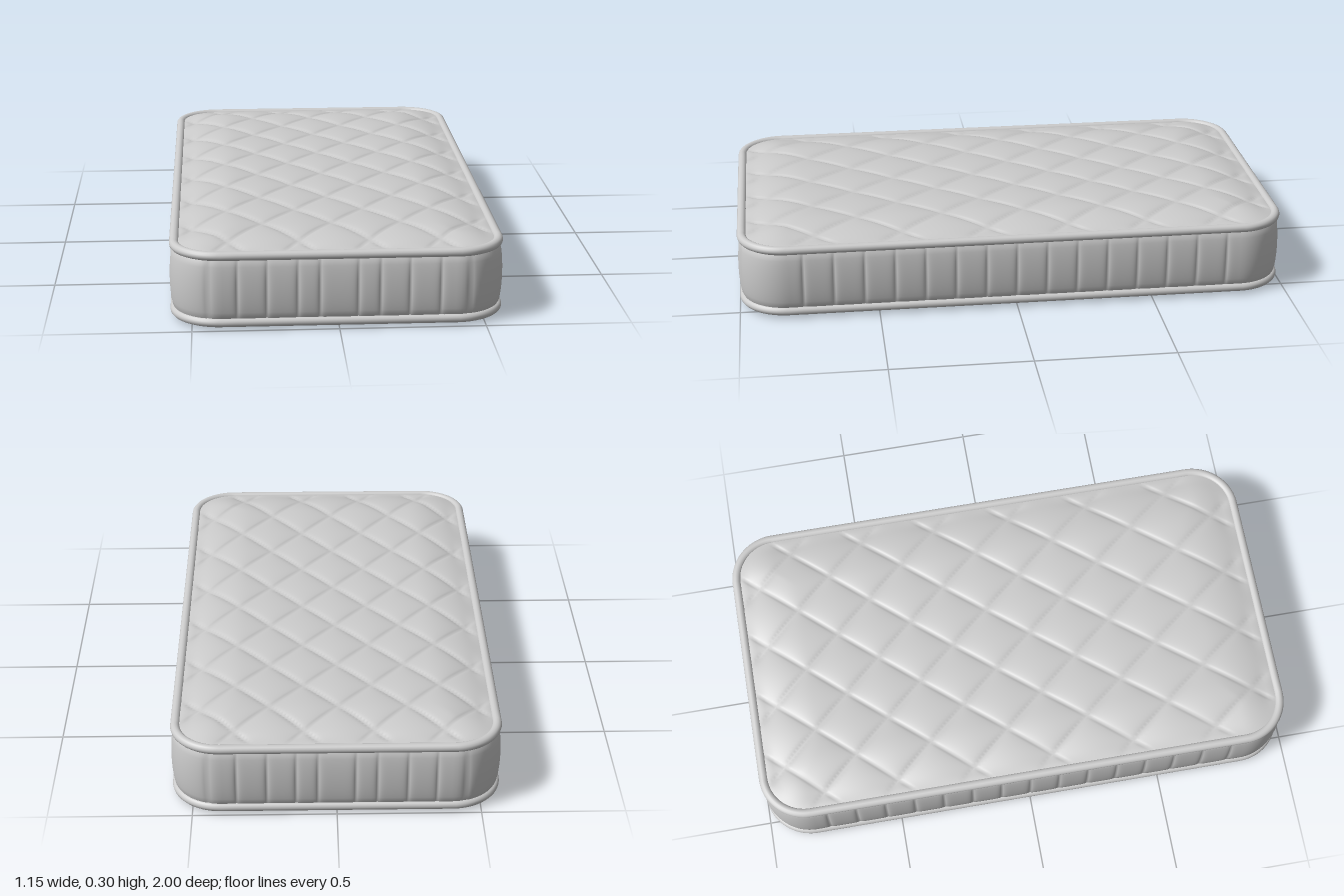
import * as THREE from 'three';

const CORE_X = 0.4, CORE_Z = 0.825;   // straight half lengths between the rounded corners
const RADIUS = 0.158;                 // corner radius of the outline
const material = new THREE.MeshStandardMaterial({ color: 0xcccccc });

function makeMesh(name, positions, index) {
  const geometry = new THREE.BufferGeometry();
  geometry.setAttribute('position', new THREE.Float32BufferAttribute(positions, 3));
  geometry.setIndex(index);
  geometry.computeVertexNormals();
  const mesh = new THREE.Mesh(geometry, material);
  mesh.name = name;
  return mesh;
}

// Rounded rectangle as points with outward normals
function outline(step) {
  const points = [];
  const corners = [[1, 1], [-1, 1], [-1, -1], [1, -1]];
  corners.forEach(([sx, sz], c) => {
    const cx = sx * CORE_X, cz = sz * CORE_Z, arc = 24;
    for (let i = 0; i <= arc; i++) {
      const a = (c + i / arc) * Math.PI / 2, nx = Math.cos(a), nz = Math.sin(a);
      points.push({ x: cx + RADIUS * nx, z: cz + RADIUS * nz, nx, nz });
    }
    const last = points[points.length - 1];
    const [tx, tz] = corners[(c + 1) % 4];
    const dx = tx * CORE_X - cx, dz = tz * CORE_Z - cz;
    const n = Math.round(Math.hypot(dx, dz) / step);
    for (let i = 1; i < n; i++) {
      points.push({ ...last, x: last.x + dx * i / n, z: last.z + dz * i / n });
    }
  });
  return points;
}

// Sweep a profile of [offset, y] around the outline
function band(name, profile, step, groove = () => 0) {
  const points = outline(step), n = points.length, positions = [], index = [];
  profile.forEach(([offset, y], row) => {
    points.forEach((p, i) => {
      const o = offset - groove(p, row / (profile.length - 1));
      positions.push(p.x + p.nx * o, y, p.z + p.nz * o);
      if (row === profile.length - 1) return;
      const a = row * n + i, b = row * n + (i + 1) % n;
      index.push(a, a + n, b, b, a + n, b + n);
    });
  });
  return makeMesh(name, positions, index);
}

// Vertical stitch grooves of the side wall
const endSeams = [-0.44, -0.345, -0.245, -0.14, -0.065, 0.065, 0.14, 0.24, 0.345, 0.44];
function wallGroove(p, t) {
  const gap = Math.abs(p.nz) > Math.abs(p.nx)
    ? Math.min(...endSeams.map((s) => Math.abs(p.x - s)))
    : Math.abs(p.z) > 0.82 ? 1 : Math.abs(p.z - 0.11 * Math.round(p.z / 0.11));
  return 0.007 * Math.exp(-gap / 0.007) * Math.sin(Math.PI * t) ** 0.5;
}

// Domed panel on a grid that follows the diamond stitching; outside points slide to the rim
function panel(name, N, up, height) {
  const r = 0.15, nu = 5 * N, nv = 7 * N, positions = [], index = [];
  for (let j = 0; j <= nv; j++) {
    for (let i = 0; i <= nu; i++) {
      const u = i / N - 2.5, v = j / N - 1, k = 2 * v;
      let x = -0.01 + 0.242 * u, z = -0.762 + 0.136 * k + 0.00125 * k * k;
      const cx = THREE.MathUtils.clamp(x, -CORE_X, CORE_X);
      const cz = THREE.MathUtils.clamp(z, -CORE_Z, CORE_Z);
      const out = Math.hypot(x - cx, z - cz), s = Math.min(1, r / Math.max(out, 1e-6));
      x = cx + (x - cx) * s;
      z = cz + (z - cz) * s;
      const inner = Math.min(0, Math.max(Math.abs(x) - CORE_X, Math.abs(z) - CORE_Z));
      const rim = Math.max(0, r - Math.min(out, r) - inner);
      positions.push(x, height(rim, u, v), z);
      if (i === nu || j === nv) continue;
      const a = j * (nu + 1) + i, b = a + 1, c = a + nu + 1, d = c + 1;
      // Cell diagonals run along the stitch lines
      const main = (i - j - 1.5 * N) % N === 0;
      const tris = main ? [a, c, d, a, d, b] : [a, c, b, b, c, d];
      index.push(...(up ? tris : tris.reverse()));
    }
  }
  return makeMesh(name, positions, index);
}

const dome = (rim) => 1 - (1 - Math.min(rim / 0.22, 1)) ** 2;

function quiltHeight(rim, u, v) {
  const puff = Math.abs(Math.sin(Math.PI * (u + v)) * Math.sin(Math.PI * (u - v))) ** 0.4;
  return 0.267 + 0.033 * dome(rim) - 0.013 * (1 - puff) * THREE.MathUtils.smoothstep(rim, 0, 0.05);
}

export function createModel() {
  const group = new THREE.Group();
  group.name = 'mattress';

  // Bulging side wall
  const wall = [];
  for (let i = 0; i <= 14; i++) {
    const t = i / 14;
    wall.push([0.017 * Math.sin(Math.PI * t) ** 0.45, 0.03 + 0.226 * t]);
  }
  group.add(band('sideWall', wall, 0.005, wallGroove));

  // Piping round both edges
  const ring = [];
  for (let i = 0; i <= 14; i++) {
    const a = -Math.PI + (i / 14) * Math.PI * 2;
    ring.push([0.017 * Math.cos(a), 0.016 * Math.sin(a)]);
  }
  for (const [name, y] of [['topPiping', 0.261], ['bottomPiping', 0.025]]) {
    group.add(band(name, ring.map(([o, h]) => [o, y + h]), 0.05));
  }

  // Quilted top and plain base
  group.add(panel('quiltedTop', 24, true, quiltHeight));
  group.add(panel('base', 12, false, (rim) => 0.018 * (1 - dome(rim))));
  return group;
}
